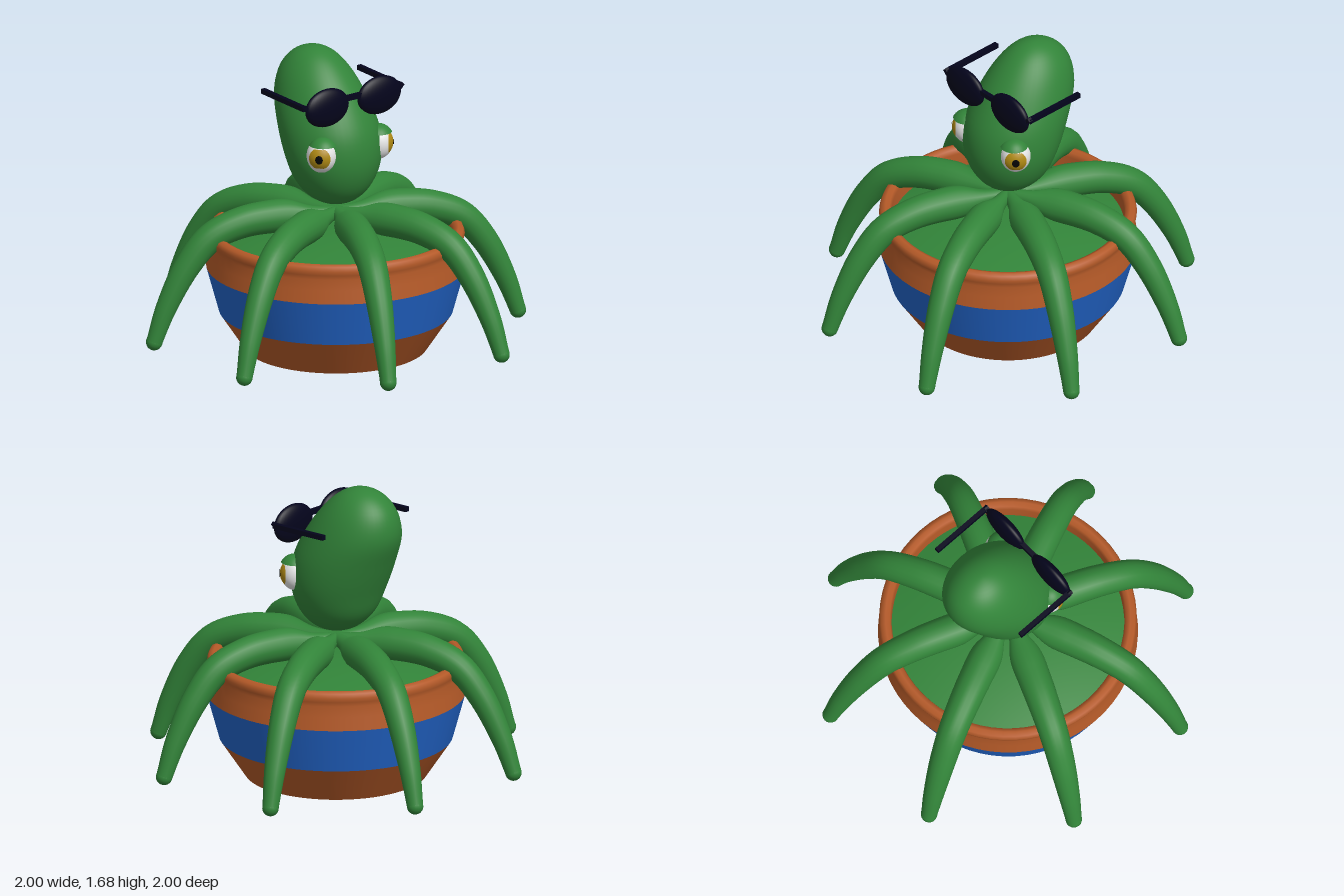
import * as THREE from 'three';
import { mergeVertices } from 'three/addons/utils/BufferGeometryUtils.js';

const material = (name, color, side = THREE.FrontSide) => {
  const m = new THREE.MeshStandardMaterial({ color, side });
  m.name = name;
  return m;
};

const V2 = (p) => new THREE.Vector2(p[0], p[1]);

// Head: stacked ellipses given as [y, front z, back z, half width]
function headGeometry() {
  const keys = [
    [0.82, 0, 0, 0], [0.853, 0.115, -0.125, 0.118], [0.945, 0.198, -0.222, 0.21],
    [1.084, 0.24, -0.285, 0.264], [1.248, 0.225, -0.355, 0.271], [1.412, 0.142, -0.415, 0.237],
    [1.551, 0.035, -0.395, 0.18], [1.643, -0.075, -0.31, 0.1], [1.676, -0.19, -0.19, 0],
  ];
  // Mirrored keys past both poles keep the ends round
  const past = ([y, f, b, w]) => [y, b, f, -w];
  const all = [past(keys[1]), ...keys, past(keys[keys.length - 2])];
  const edges = new THREE.CatmullRomCurve3(all.map((k) => new THREE.Vector3(k[1], k[0], k[2])), false, 'catmullrom');
  const widths = new THREE.SplineCurve(all.map((k) => new THREE.Vector2(k[3], k[0])));
  const rows = 40, cols = 48, last = all.length - 1;
  const geo = new THREE.SphereGeometry(1, cols, rows);
  const pos = geo.attributes.position;
  for (let j = 0; j <= rows; j++) {
    const t = (1 + (last - 2) * (1 - j / rows)) / last;
    const e = edges.getPoint(t), w = Math.max(0, widths.getPoint(t).x);
    const mid = (e.x + e.z) / 2, depth = Math.max(0, (e.x - e.z) / 2);
    for (let i = 0; i <= cols; i++) {
      const a = (i % cols) / cols * Math.PI * 2;
      pos.setXYZ(j * (cols + 1) + i, -Math.cos(a) * w, e.y, mid + Math.sin(a) * depth);
    }
  }
  geo.deleteAttribute('uv');
  geo.deleteAttribute('normal');
  const merged = mergeVertices(geo, 1e-5);
  merged.computeVertexNormals();
  return merged;
}

// Tentacle: tube along +x, thin at the centre, swelling at the shoulder, tapering to the tip
const tentaclePath = new THREE.CatmullRomCurve3([
  [0, 0.765], [0.18, 0.768], [0.36, 0.772], [0.54, 0.752], [0.715, 0.68],
  [0.845, 0.53], [0.965, 0.3], [1.033, 0.11],
].map(([x, y]) => new THREE.Vector3(x, y, 0)));

function tentacleGeometry() {
  const radii = [0.035, 0.047, 0.089, 0.091, 0.087, 0.082, 0.077, 0.071, 0.063, 0.054, 0.045];
  const profile = new THREE.SplineCurve(radii.map((r, i) => new THREE.Vector2(i, r)));
  const segs = 50, sides = 18;
  const geo = new THREE.TubeGeometry(tentaclePath, segs, 1, sides);
  const pos = geo.attributes.position, v = new THREE.Vector3();
  for (let i = 0; i <= segs; i++) {
    const r = profile.getPoint(i / segs).y;
    const c = tentaclePath.getPointAt(i / segs);
    for (let j = 0; j <= sides; j++) {
      const n = i * (sides + 1) + j;
      v.fromBufferAttribute(pos, n).sub(c).multiplyScalar(r).add(c);
      pos.setXYZ(n, v.x, v.y, v.z);
    }
  }
  return geo;
}

export function createModel() {
  const model = new THREE.Group();
  const green = material('skin green', 0x328439);
  const brown = material('terracotta', 0xb55a28, THREE.DoubleSide);
  const blue = material('band blue', 0x2264c8);
  const dark = material('glasses navy', 0x04041c);
  const white = material('eye white', 0xececec);
  const gold = material('iris gold', 0xb08a14);
  const black = material('pupil black', 0x040404);

  const add = (parent, name, geo, mat, x = 0, y = 0, z = 0) => {
    const m = new THREE.Mesh(geo, mat);
    m.name = name;
    m.position.set(x, y, z);
    parent.add(m);
    return m;
  };
  const lathe = (pts) => new THREE.LatheGeometry(pts.map(V2), 64);

  // Pot
  const pot = new THREE.Group();
  pot.name = 'pot';
  model.add(pot);
  add(pot, 'potBottom', lathe([[0, 0], [0.5, 0]]), brown);
  add(pot, 'potBase', lathe([[0.5, 0], [0.64, 0.21]]), brown);
  add(pot, 'potBand', lathe([[0.64, 0.21], [0.71, 0.465]]), blue);
  add(pot, 'potRim', lathe([
    [0.71, 0.465], [0.7, 0.54], [0.692, 0.6], [0.697, 0.625], [0.704, 0.648], [0.694, 0.672],
    [0.669, 0.682], [0.645, 0.672], [0.636, 0.645], [0.636, 0.54],
  ]), brown);

  // Domed surface filling the pot
  const dome = [];
  for (let i = 0; i <= 10; i++) {
    const r = 0.64 * (1 - i / 10);
    dome.push([r, 0.56 + 0.09 * (1 - (r / 0.64) ** 2)]);
  }
  add(pot, 'potFilling', lathe(dome), green);

  // Eight tentacles with rounded tips
  const armGeo = tentacleGeometry();
  const tipGeo = new THREE.SphereGeometry(0.0455, 18, 12);
  for (let i = 0; i < 8; i++) {
    const arm = new THREE.Group();
    arm.name = 'tentacle' + (i + 1);
    arm.rotation.y = (i + 0.5) * Math.PI / 4;
    add(arm, 'tentacleArm', armGeo, green);
    add(arm, 'tentacleTip', tipGeo, green, 1.033, 0.11, 0);
    model.add(arm);
  }

  add(model, 'head', headGeometry(), green);

  // Eyes look outward; iris and pupil are thin caps over the eyeball
  const cap = (r, angle) => new THREE.SphereGeometry(r, 32, 12, 0, Math.PI * 2, 0, angle).rotateX(Math.PI / 2);
  for (const s of [-1, 1]) {
    const eye = new THREE.Group();
    eye.name = s > 0 ? 'leftEye' : 'rightEye';
    eye.position.set(s * 0.195, 1.16, 0.12);
    eye.rotation.y = s * 0.85;
    model.add(eye);
    add(eye, 'eyeball', new THREE.SphereGeometry(0.083, 32, 24), white).scale.y = 1.15;
    add(eye, 'iris', cap(0.086, 0.77), gold).scale.y = 1.03;
    add(eye, 'pupil', cap(0.089, 0.24), black).scale.y = 1.15;
    const lidGeo = new THREE.SphereGeometry(0.092, 32, 12, 0, Math.PI * 2, 0, 0.95);
    add(eye, 'eyelid', lidGeo, green, s * -0.008, 0, 0.004).scale.y = 1.16;
  }

  // Sunglasses
  const glasses = new THREE.Group();
  glasses.name = 'sunglasses';
  model.add(glasses);
  for (const s of [-1, 1]) {
    const lens = add(glasses, 'lens', new THREE.SphereGeometry(1, 32, 24), dark, s * 0.182, 1.44, 0.15);
    lens.scale.set(0.148, 0.108, 0.043);
    const hinge = add(glasses, 'hinge', new THREE.BoxGeometry(0.05, 0.022, 0.025), dark, s * 0.325, 1.458, 0.148);
    hinge.rotation.z = s * 0.75;
    const temple = add(glasses, 'temple', new THREE.BoxGeometry(0.027, 0.027, 0.37), dark, s * 0.335, 1.467, -0.035);
    temple.rotation.x = 0.035;
  }
  add(glasses, 'bridge', new THREE.BoxGeometry(0.12, 0.028, 0.026), dark, 0, 1.466, 0.15);

  return model;
}
